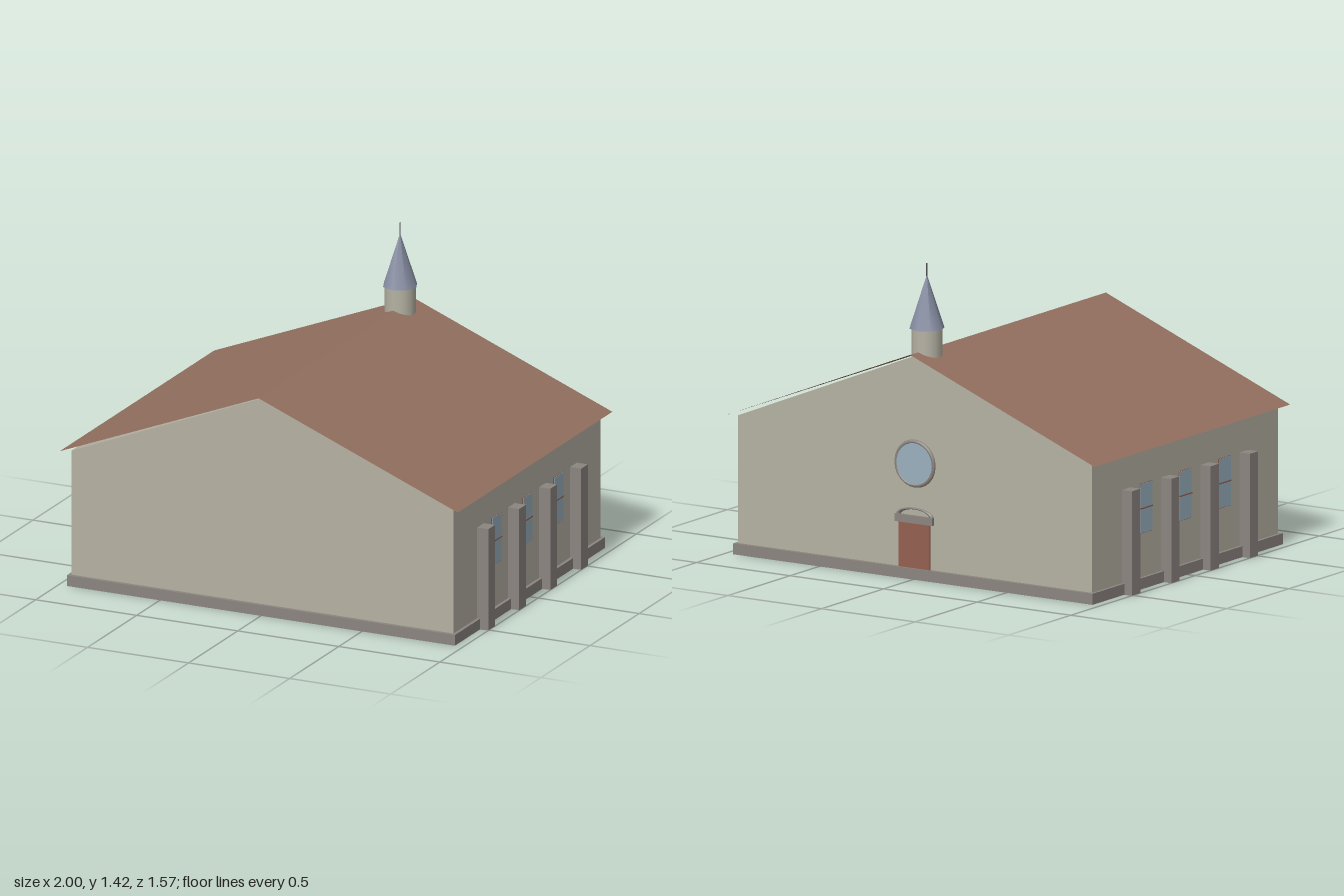
import * as THREE from 'three';

const mat = (name, color, side = THREE.FrontSide) => {
  const m = new THREE.MeshStandardMaterial({ color, side });
  m.name = name;
  return m;
};

export function createModel() {
  const wall = mat('pale wall', 0xb5b1a3);
  const stone = mat('grey stone', 0x8c8580);
  const roofTile = mat('roof tile', 0x93705f, THREE.DoubleSide);
  const slate = mat('blue slate', 0x878ea3);
  const glass = mat('window glass', 0x9ab0be);
  const wood = mat('brown wood', 0x94604f);
  const iron = mat('dark iron', 0x55565c);

  const model = new THREE.Group();
  model.name = 'chapel';
  const add = (name, geometry, material, x = 0, y = 0, z = 0, parent = model) => {
    const mesh = new THREE.Mesh(geometry, material);
    mesh.name = name;
    mesh.position.set(x, y, z);
    parent.add(mesh);
    return mesh;
  };
  const box = (name, material, w, h, d, x, y, z, parent) =>
    add(name, new THREE.BoxGeometry(w, h, d), material, x, y, z, parent);

  const halfW = 0.945, halfD = 0.747, baseTop = 0.05, eaves = 0.632;

  // Plinth and wall courses
  box('plinth', stone, 1.92, baseTop, 1.53, 0, baseTop / 2, 0);
  const courses = 8, courseH = (eaves - baseTop) / courses;
  for (let i = 0; i < courses; i++) {
    box('wallCourse', wall, halfW * 2, courseH, halfD * 2, 0, baseTop + courseH * (i + 0.5), 0);
  }

  // Gable prism under the roof
  const gable = new THREE.Shape([
    new THREE.Vector2(-halfW, eaves), new THREE.Vector2(halfW, eaves), new THREE.Vector2(0, 1.016),
  ]);
  add('gable', new THREE.ExtrudeGeometry(gable, { depth: halfD * 2, bevelEnabled: false }), wall, 0, 0, -halfD);

  // Thin overhanging roof slopes
  const ridge = 1.027, roofEdge = 0.635, roofW = 0.985, roofD = 0.787;
  for (const s of [-1, 1]) {
    const slope = new THREE.PlaneGeometry(Math.hypot(roofW, ridge - roofEdge), roofD * 2);
    slope.rotateX(-Math.PI / 2);
    slope.rotateZ(-s * Math.atan2(ridge - roofEdge, roofW));
    add('roofSlope', slope, roofTile, s * roofW / 2, (ridge + roofEdge) / 2, 0);
  }

  // Side buttresses and windows
  for (const s of [-1, 1]) {
    for (const z of [-0.473, -0.158, 0.158, 0.473]) {
      box('buttress', stone, 0.06, 0.475, 0.068, s * 0.97, 0.2375, z);
    }
    for (const z of [-0.315, 0, 0.315]) {
      const win = new THREE.Group();
      win.name = 'sideWindow';
      win.position.set(s * halfW, 0.363, z);
      model.add(win);
      box('windowFrame', wood, 0.006, 0.228, 0.1, 0, 0, 0, win);
      box('windowPane', glass, 0.008, 0.224, 0.093, s * 0.001, 0, 0, win);
      box('transom', wood, 0.009, 0.006, 0.1, s * 0.002, 0, 0, win);
    }
  }

  // Door with lintel and shallow arch on the back wall
  box('door', wood, 0.165, 0.215, 0.009, 0, 0.155, -halfD - 0.0045);
  box('doorLintel', stone, 0.2, 0.035, 0.014, 0, 0.272, -halfD - 0.007);
  const arch = add('doorArch', new THREE.TorusGeometry(0.088, 0.012, 6, 16, Math.PI), stone, 0, 0.287, -halfD);
  arch.scale.set(1, 0.38, 1);

  // Round window above the door
  const pane = new THREE.CylinderGeometry(0.1, 0.1, 0.008, 24).rotateX(Math.PI / 2);
  add('roundWindowPane', pane, glass, 0, 0.525, -halfD - 0.004);
  add('roundWindowRim', new THREE.TorusGeometry(0.1, 0.01, 6, 24), stone, 0, 0.525, -halfD);

  // Turret, spire and finial
  const turretZ = -0.652;
  add('turret', new THREE.CylinderGeometry(0.07, 0.07, 0.165, 16), wall, 0, 1.0425, turretZ);
  add('spire', new THREE.ConeGeometry(0.08, 0.245, 8), slate, 0, 1.2475, turretZ);
  add('finial', new THREE.CylinderGeometry(0.003, 0.003, 0.06, 6), iron, 0, 1.39, turretZ);

  return model;
}
